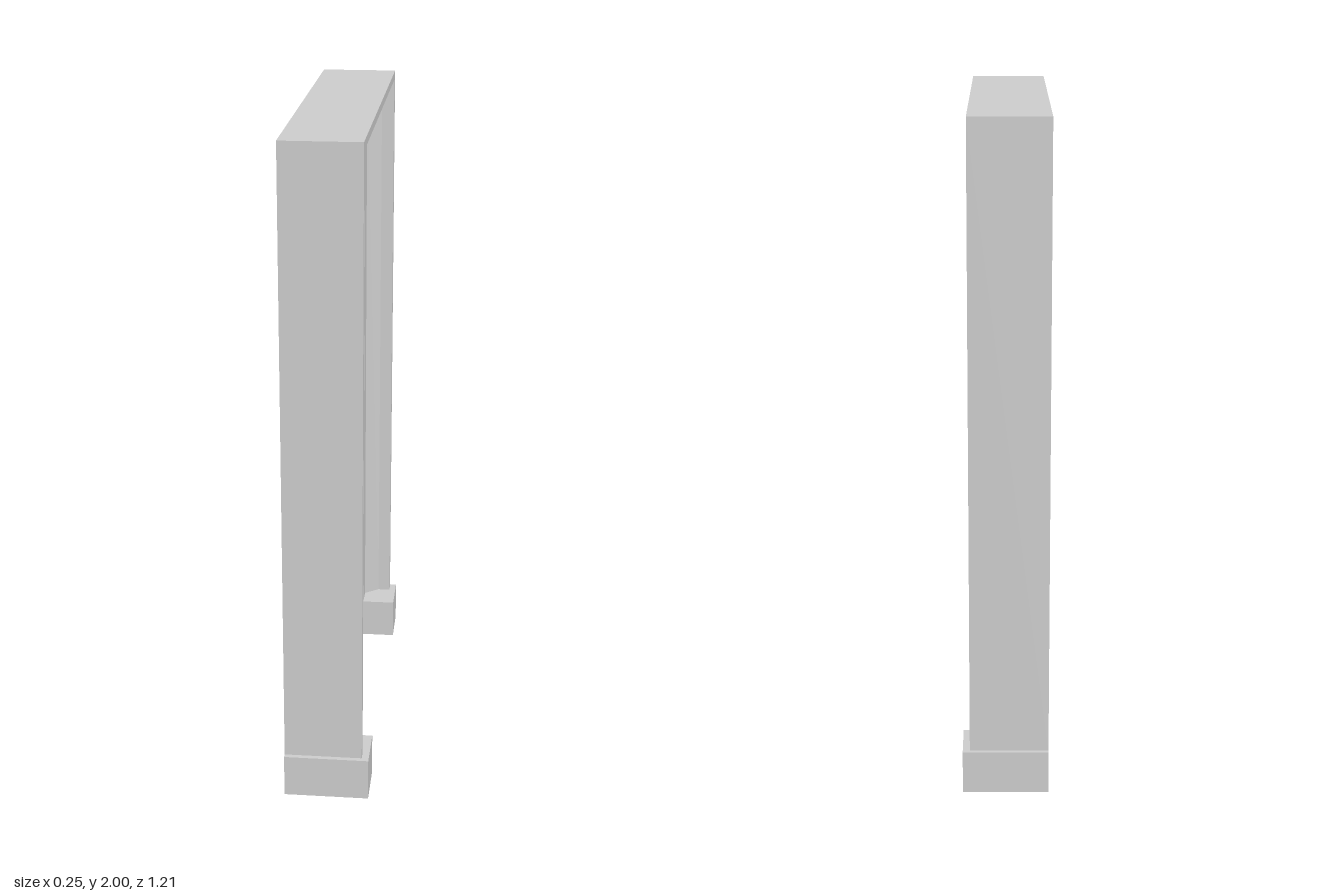
import * as THREE from 'three';

const BASE_H = 0.13;   // height of the plinth blocks
const BACK = -0.128;   // shared back plane

// Moulding section: x depth, z half-width on the jambs, y height on the header
const SECTION = [
  [BACK, 0.458, 1.892],
  [0.02, 0.458, 1.892],
  [0.02, 0.527, 1.925],
  [0.066, 0.562, 1.975],
  [0.106, 0.562, 1.975],
  [0.106, 0.592, 2],
  [BACK, 0.592, 2],
];

// Sweep the section up one jamb, across the mitred header and down the other
function frameGeometry() {
  const rings = [[1, false], [1, true], [-1, true], [-1, false]].map(([side, top]) =>
    SECTION.map(([x, z, y]) => [x, top ? y : BASE_H, side * z]));
  const positions = [];
  const n = SECTION.length;
  for (let r = 0; r < rings.length - 1; r++) {
    for (let i = 0; i < n; i++) {
      const j = (i + 1) % n;
      const a = rings[r][i], b = rings[r][j], c = rings[r + 1][j], d = rings[r + 1][i];
      positions.push(...a, ...d, ...c, ...a, ...c, ...b);
    }
  }
  const geometry = new THREE.BufferGeometry();
  geometry.setAttribute('position', new THREE.Float32BufferAttribute(positions, 3));
  geometry.computeVertexNormals();
  return geometry;
}

export function createModel() {
  const model = new THREE.Group();
  model.name = 'doorFrame';
  const material = new THREE.MeshStandardMaterial({ color: 0xcccccc, flatShading: true });

  const frame = new THREE.Mesh(frameGeometry(), material);
  frame.name = 'mouldedFrame';
  model.add(frame);

  // Plinth blocks, flush with the frame at the back and inside the opening
  const inner = SECTION[0][1], outer = 0.607, front = 0.127;
  for (const side of [1, -1]) {
    const block = new THREE.Mesh(
      new THREE.BoxGeometry(front - BACK, BASE_H, outer - inner), material);
    block.position.set((front + BACK) / 2, BASE_H / 2, side * (inner + outer) / 2);
    block.name = side > 0 ? 'frontPlinthBlock' : 'backPlinthBlock';
    model.add(block);
  }
  return model;
}
